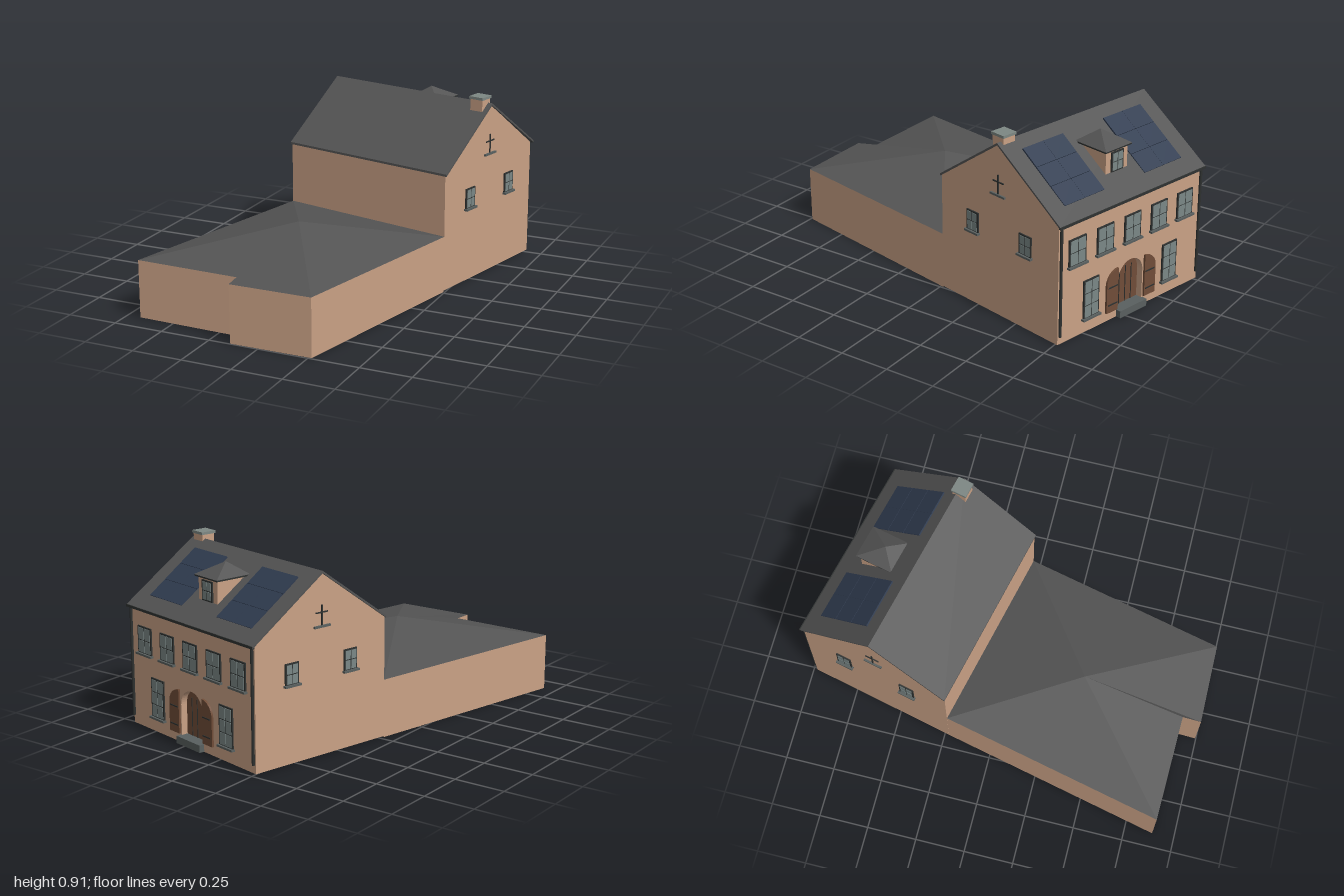
import * as THREE from 'three';

const mat = (name, color, side = THREE.FrontSide) => {
  const m = new THREE.MeshStandardMaterial({ color, side });
  m.name = name;
  return m;
};

export function createModel() {
  const wall = mat('tan wall', 0xc9a185, THREE.DoubleSide);
  const slate = mat('grey slate', 0x545454, THREE.DoubleSide);
  const dark = mat('dark metal', 0x2f3231);
  const trim = mat('grey trim', 0x59605f);
  const glass = mat('window glass', 0x7a8786);
  const stone = mat('cap stone', 0x7d8783);
  const wood = mat('brown wood', 0x704d38);
  const solar = mat('solar blue', 0x303c50);

  const model = new THREE.Group();
  model.name = 'townHouse';
  const house = new THREE.Group();
  house.name = 'house';
  house.position.set(0.1165, 0, -0.498);
  house.rotation.y = -0.2268;
  model.add(house);

  const add = (parent, name, geo, material, x = 0, y = 0, z = 0) => {
    const m = new THREE.Mesh(geo, material);
    m.name = name;
    m.position.set(x, y, z);
    parent.add(m);
    return m;
  };
  const box = (parent, name, material, w, h, d, x, y, z) =>
    add(parent, name, new THREE.BoxGeometry(w, h, d), material, x, y, z);
  const extrude = (shape, depth) =>
    new THREE.ExtrudeGeometry(shape, { depth, bevelEnabled: false, curveSegments: 12 });
  const polygon = (pts) => new THREE.Shape(pts.map((p) => new THREE.Vector2(...p)));
  // Cross-section in (z, y), extruded along x and centred
  const section = (pts, width) =>
    extrude(polygon(pts), width).translate(0, 0, -width / 2).rotateY(-Math.PI / 2);

  // House body and the facade slab with its arched doorway
  const base = 0.006, W = 0.95, D = 0.386, ridge = 0.877, slope = 0.71;
  add(house, 'houseBody', section([[-0.346, base], [D, base], [D, 0.597],
    [0, 0.868], [-D, 0.594], [-0.346, 0.594]], W), wall);
  const arch = (Type, r, y0, yTop) => {
    const s = new Type();
    s.moveTo(-r, y0);
    s.lineTo(r, y0);
    s.lineTo(r, yTop - r);
    s.absarc(0, yTop - r, r, 0, Math.PI, false);
    s.lineTo(-r, y0);
    return s;
  };
  const facade = polygon([[-W / 2, base], [W / 2, base], [W / 2, 0.595], [-W / 2, 0.595]]);
  facade.holes.push(arch(THREE.Path, 0.083, 0.012, 0.275));
  add(house, 'backFacade', extrude(facade, 0.04), wall, 0, 0, -D);
  add(house, 'frontDoor', extrude(arch(THREE.Shape, 0.083, 0.012, 0.275), 0.006), wood, 0, 0, -0.353);
  for (const x of [-0.04, 0, 0.04]) {
    box(house, 'doorBatten', dark, 0.003, 0.2, 0.004, x, 0.13, -0.354);
  }
  box(house, 'doorStep', trim, 0.18, 0.036, 0.06, 0, 0.025, -0.383);

  // Open door leaves: half arches folded against the wall
  for (const s of [-1, 1]) {
    const leaf = new THREE.Shape();
    leaf.moveTo(0, 0.05);
    leaf.lineTo(s * 0.075, 0.05);
    leaf.lineTo(s * 0.075, 0.19);
    leaf.absarc(0, 0.19, 0.075, s > 0 ? 0 : Math.PI, Math.PI / 2, s < 0);
    leaf.lineTo(0, 0.05);
    add(house, 'doorLeaf', extrude(leaf, 0.01), wood, s * 0.09, 0, -D - 0.01);
    for (const y of [0.09, 0.18]) {
      box(house, 'leafStrap', dark, 0.06, 0.006, 0.004, s * 0.125, y, -D - 0.011);
    }
  }

  // Main roof, gutter and downpipes
  const t = 0.011;
  add(house, 'mainRoof', section([[-0.402, 0.592], [-0.402, 0.602], [0, ridge], [0.389, 0.602],
    [0.389, 0.602 - t], [0, ridge - t]], 0.968), slate);
  box(house, 'gutter', dark, 0.968, 0.012, 0.014, 0, 0.596, -0.4);
  for (const s of [-1, 1]) {
    add(house, 'downpipe', new THREE.CylinderGeometry(0.007, 0.007, 0.55, 8), dark,
      s * 0.465, 0.322, -D - 0.007);
  }

  // Framed window with two columns of panes and a sill, facing +z of its group
  const windowAt = (x, y, z, ry, w, h, rows = 2, sill = true) => {
    const g = new THREE.Group();
    g.name = 'window';
    g.position.set(x, y, z);
    g.rotation.y = ry;
    box(g, 'windowFrame', dark, w, h, 0.008, 0, 0, 0.003);
    const pw = (w - 0.02) / 2;
    let top = h / 2 - 0.007;
    const usable = h - 0.014 - 0.005 * (rows - 1);
    for (let r = 0; r < rows; r++) {
      const ph = usable / rows;
      for (const s of [-1, 1]) {
        box(g, 'windowPane', glass, pw, ph, 0.004, s * (pw / 2 + 0.0025), top - ph / 2, 0.007);
      }
      top -= ph + 0.005;
    }
    if (sill) box(g, 'windowSill', trim, w + 0.014, 0.01, 0.02, 0, -h / 2 - 0.002, 0.008);
    house.add(g);
  };
  for (let i = -2; i <= 2; i++) windowAt(i * 0.18, 0.443, -D, Math.PI, 0.108, 0.135);
  for (const s of [-1, 1]) windowAt(s * 0.265, 0.175, -D, Math.PI, 0.1, 0.195, 3);

  // Gable walls: two windows and a cross on a ledge
  for (const s of [-1, 1]) {
    const x = s * W / 2;
    for (const z of [-0.178, 0.17]) windowAt(x, 0.432, z, s * Math.PI / 2, 0.078, 0.103);
    box(house, 'gableCrossPost', dark, 0.01, 0.1, 0.006, x, 0.67, 0);
    box(house, 'gableCrossBar', dark, 0.01, 0.006, 0.07, x, 0.685, 0);
    box(house, 'gableLedge', trim, 0.02, 0.01, 0.095, x, 0.62, 0);
  }

  // Solar panels laid in tiles on the rear slope
  const angle = Math.atan(slope);
  for (const s of [-1, 1]) {
    for (let i = 0; i < 2; i++) {
      for (let j = 0; j < 3; j++) {
        const z = -0.062 - 0.09 * (j + 0.5);
        const p = box(house, 'solarPanel', solar, 0.126, 0.008, 0.09 / Math.cos(angle) - 0.002,
          s * (0.197 + 0.127 * i), ridge + z * -slope * -1 + 0.008, z);
        p.rotation.x = -angle;
      }
    }
  }

  // Dormer with a hipped cap
  box(house, 'dormerBody', wall, 0.142, 0.14, 0.175, 0, 0.732, -0.19);
  windowAt(0, 0.738, -0.2775, Math.PI, 0.078, 0.098, 2, false);
  box(house, 'dormerEave', dark, 0.172, 0.008, 0.19, 0, 0.8, -0.195);
  const cap = new THREE.ConeGeometry(Math.SQRT1_2, 1, 4, 1).rotateY(Math.PI / 4)
    .toNonIndexed().scale(0.174, 0.058, 0.194);
  cap.computeVertexNormals();
  // shift the peak toward the ridge
  const pos = cap.attributes.position;
  for (let i = 0; i < pos.count; i++) if (pos.getY(i) > 0) pos.setZ(i, pos.getZ(i) + 0.022);
  cap.computeVertexNormals();
  add(house, 'dormerRoof', cap, slate, 0, 0.833, -0.195);

  // Chimney
  box(house, 'chimneyStack', wall, 0.07, 0.1, 0.07, 0.425, 0.848, 0.018);
  box(house, 'chimneyCap', stone, 0.08, 0.013, 0.08, 0.425, 0.904, 0.018);

  // Low annex: open-bottomed walls and a roof fanned from one peak
  const plan = [[-0.432, -0.229], [-0.68, 0.89], [-0.14, 0.903], [-0.143, 0.996],
    [0.265, 0.992], [0.493, -0.016]];
  const h = 0.286, peak = [-0.093, 0.406, 0.388];
  const wallPts = [], roofPts = [];
  plan.forEach(([x, z], i) => {
    const [x2, z2] = plan[(i + 1) % plan.length];
    roofPts.push(x, h, z, x2, h, z2, ...peak);
    if (i < plan.length - 1) {
      wallPts.push(x, 0, z, x2, 0, z2, x2, h, z2, x, 0, z, x2, h, z2, x, h, z);
    }
  });
  for (const [name, pts, m] of [['annexWalls', wallPts, wall], ['annexRoof', roofPts, slate]]) {
    const g = new THREE.BufferGeometry();
    g.setAttribute('position', new THREE.Float32BufferAttribute(pts, 3));
    g.computeVertexNormals();
    add(model, name, g, m);
  }
  return model;
}
